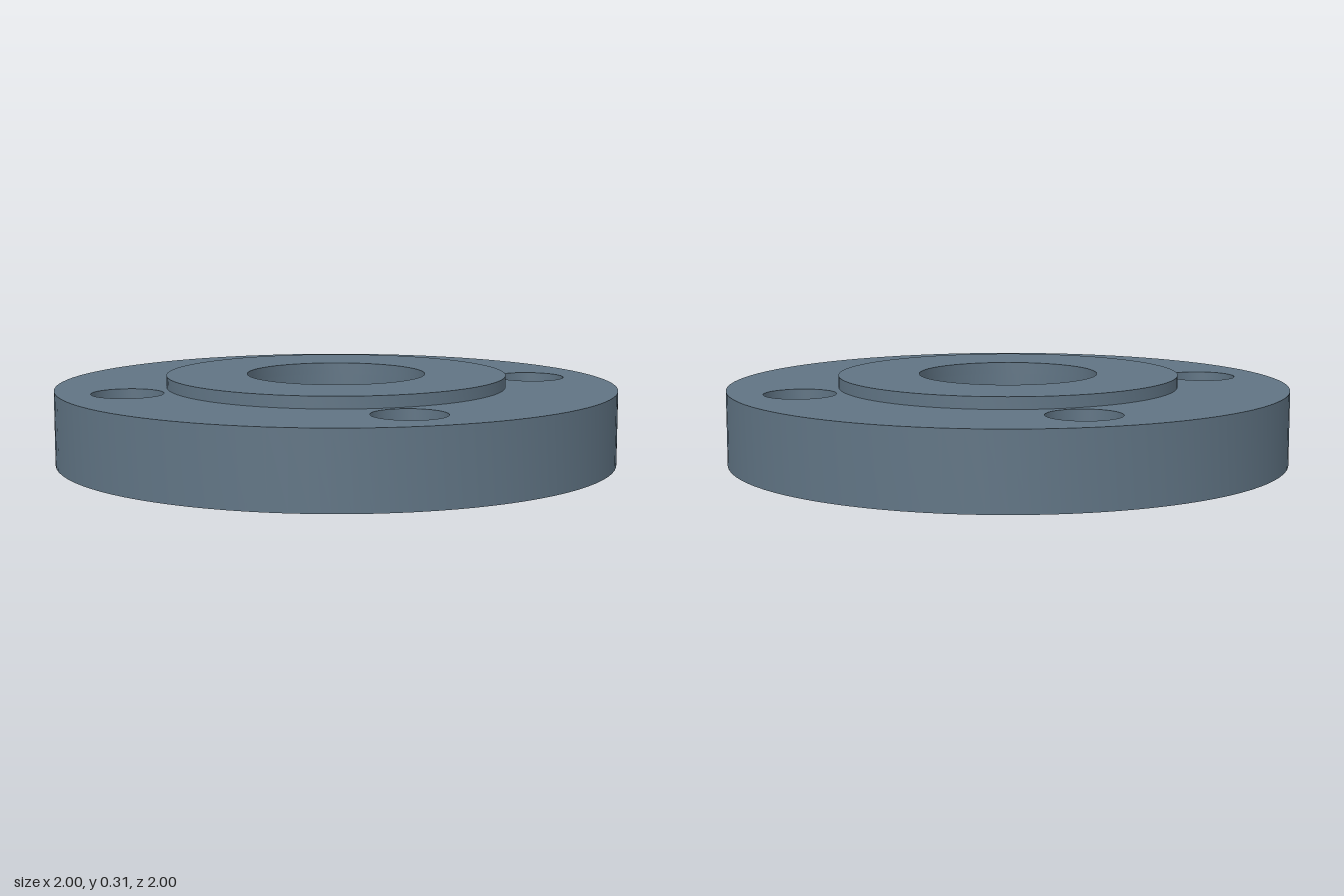
import * as THREE from 'three';
import { toCreasedNormals } from 'three/addons/utils/BufferGeometryUtils.js';

const PLATE_HEIGHT = 0.263;
const TOTAL_HEIGHT = 0.305;
const BORE_RADIUS = 0.318;
const BOLT_CIRCLE = 0.757;

// Points of a circle, without repeating the first one
function circle(radius, segments, cx = 0, cy = 0) {
  return Array.from({ length: segments }, (_, i) => {
    const a = (i / segments) * Math.PI * 2;
    return new THREE.Vector2(cx + radius * Math.cos(a), cy + radius * Math.sin(a));
  });
}

// Upright disc with round holes, standing between two heights
function disc(name, radius, bottom, top, holes, material) {
  const shape = new THREE.Shape(circle(radius, 96));
  shape.holes = holes.map((points) => new THREE.Path(points));
  const extruded = new THREE.ExtrudeGeometry(shape, { depth: top - bottom, bevelEnabled: false });
  extruded.rotateX(-Math.PI / 2);
  extruded.translate(0, bottom, 0);
  const mesh = new THREE.Mesh(toCreasedNormals(extruded, 0.6), material);
  mesh.name = name;
  return mesh;
}

export function createModel() {
  const group = new THREE.Group();
  group.name = 'pipeFlange';
  const steel = new THREE.MeshStandardMaterial({ color: 0x607484 });

  const bore = circle(BORE_RADIUS, 96);

  // Four bolt holes, one on each axis
  const boltHoles = [0, 1, 2, 3].map((i) => {
    const a = (i * Math.PI) / 2;
    return circle(0.126, 48, BOLT_CIRCLE * Math.cos(a), BOLT_CIRCLE * Math.sin(a));
  });

  // Main plate with the bore and bolt holes
  group.add(disc('flangePlate', 1, 0, PLATE_HEIGHT, [bore, ...boltHoles], steel));

  // Raised sealing face around the bore
  group.add(disc('raisedFace', 0.606, PLATE_HEIGHT, TOTAL_HEIGHT, [bore], steel));

  return group;
}
